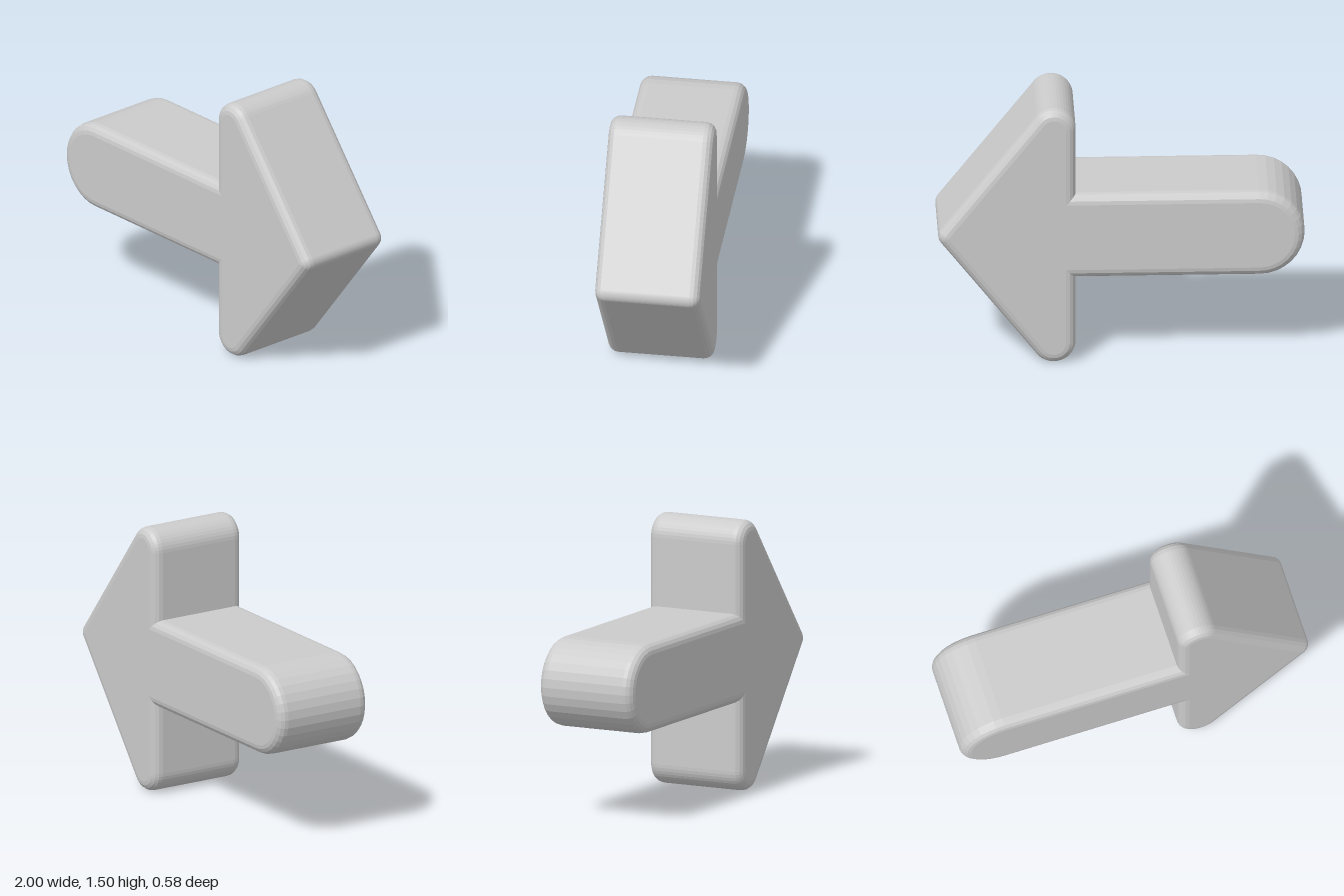
import * as THREE from 'three';

export function createModel() {
  const group = new THREE.Group();
  group.name = 'arrow';

  const midY = 0.75, halfDepth = 0.29, bevel = 0.055;
  const shaftR = 0.247, shaftX = -0.753, backX = 0.25;
  const barb = { x: 0.37, y: 0.63, r: 0.12 }; // y measured from the centre line
  const tip = { x: 0.94, r: 0.06 };

  // Angle of the slanted edge's normal, tangent to the barb and tip arcs
  const dx = tip.x - barb.x, dy = -barb.y;
  const a = Math.atan2(dy, dx) + Math.acos((barb.r - tip.r) / Math.hypot(dx, dy));

  // Outline, counter-clockwise: rounded shaft, lower barb, tip, upper barb
  const s = new THREE.Shape();
  s.moveTo(backX, midY + shaftR);
  s.lineTo(0, midY + shaftR);
  s.absarc(shaftX, midY, shaftR, Math.PI / 2, Math.PI * 1.5, false);
  s.lineTo(backX, midY - shaftR);
  s.absarc(barb.x, midY - barb.y, barb.r, Math.PI, 2 * Math.PI - a, false);
  s.absarc(tip.x, midY, tip.r, -a, a, false);
  s.absarc(barb.x, midY + barb.y, barb.r, a, Math.PI, false);

  // Thick body with rounded front and back rims
  const depth = 2 * (halfDepth - bevel);
  const geo = new THREE.ExtrudeGeometry(s, {
    depth, curveSegments: 8,
    bevelEnabled: true, bevelThickness: bevel, bevelSize: bevel,
    bevelOffset: -bevel, bevelSegments: 4,
  });
  geo.translate(0, 0, -depth / 2);

  const body = new THREE.Mesh(
    geo,
    new THREE.MeshStandardMaterial({ color: 0xcccccc, flatShading: true })
  );
  body.name = 'arrowBody';
  group.add(body);
  return group;
}
